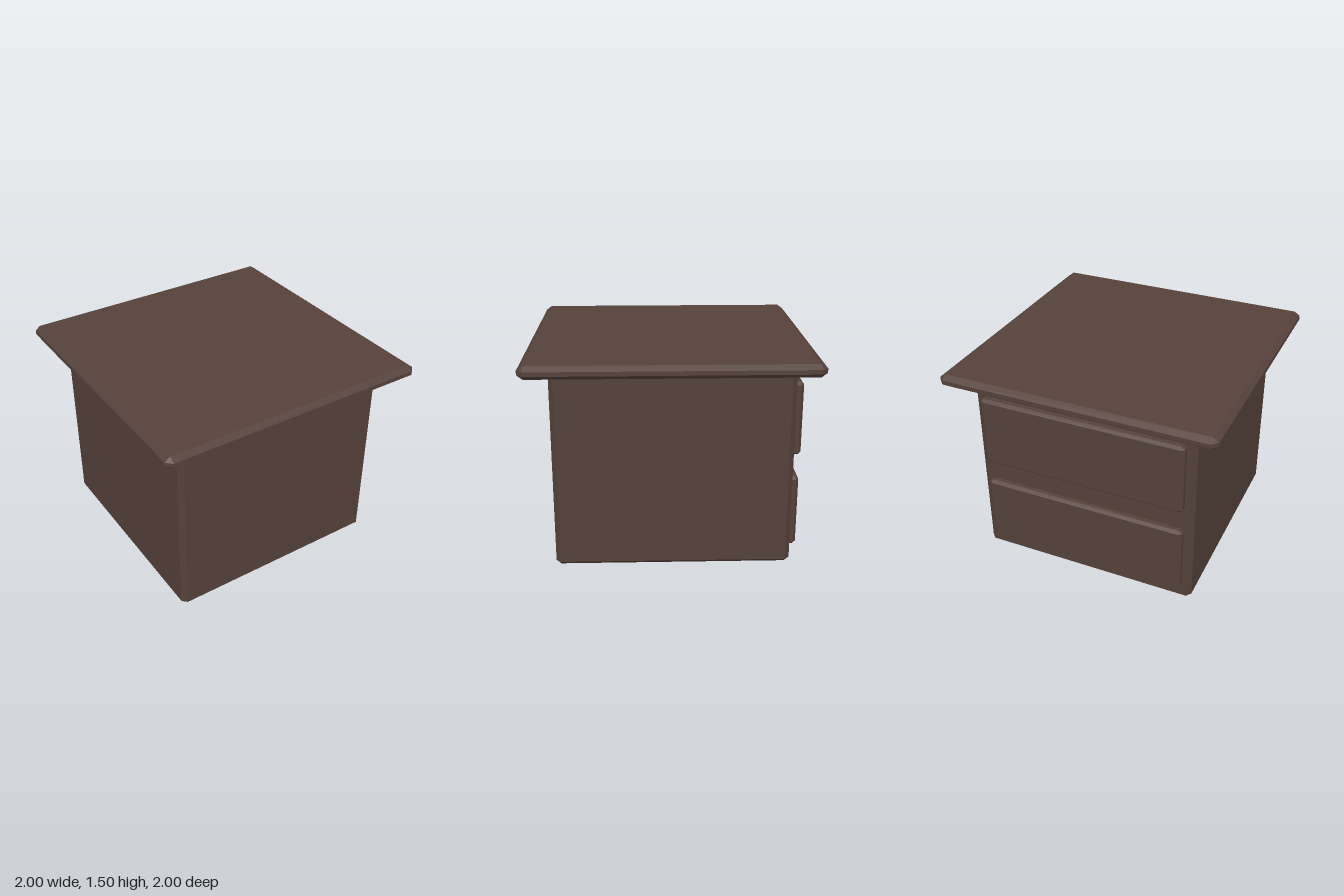
import * as THREE from 'three';
import { ConvexGeometry } from 'three/addons/geometries/ConvexGeometry.js';

const wood = new THREE.MeshStandardMaterial({ color: 0x54413a });

// Box between two corners with every edge chamfered by bevel [bx, by, bz]
function chamferedBox(name, min, max, bevel) {
  const center = min.map((v, i) => (v + max[i]) / 2);
  const half = min.map((v, i) => (max[i] - v) / 2);
  const points = [];
  for (let axis = 0; axis < 3; axis++) {
    for (const sx of [-1, 1]) for (const sy of [-1, 1]) for (const sz of [-1, 1]) {
      const p = [sx, sy, sz].map((s, i) => s * (half[i] - (i === axis ? 0 : bevel[i])));
      points.push(new THREE.Vector3(...p));
    }
  }
  const mesh = new THREE.Mesh(new ConvexGeometry(points), wood);
  mesh.name = name;
  mesh.position.set(...center);
  return mesh;
}

export function createModel() {
  const model = new THREE.Group();
  model.name = 'nightstand';

  // Cabinet and overhanging top
  model.add(chamferedBox('cabinet', [-0.82, 0, -0.84], [0.82, 1.415, 0.82], [0.035, 0.03, 0.035]));
  model.add(chamferedBox('tabletop', [-1, 1.415, -1], [1, 1.505, 1], [0.04, 0.03, 0.04]));

  // Drawer fronts, let into the cabinet on the -z side
  const drawers = [
    ['lowerDrawer', 0.11, 0.63, -0.89],
    ['upperDrawer', 0.795, 1.32, -0.895],
  ];
  for (const [name, y0, y1, z] of drawers) {
    model.add(chamferedBox(name, [-0.755, y0, z], [0.755, y1, -0.77], [0.025, 0.02, 0.02]));
  }
  return model;
}
